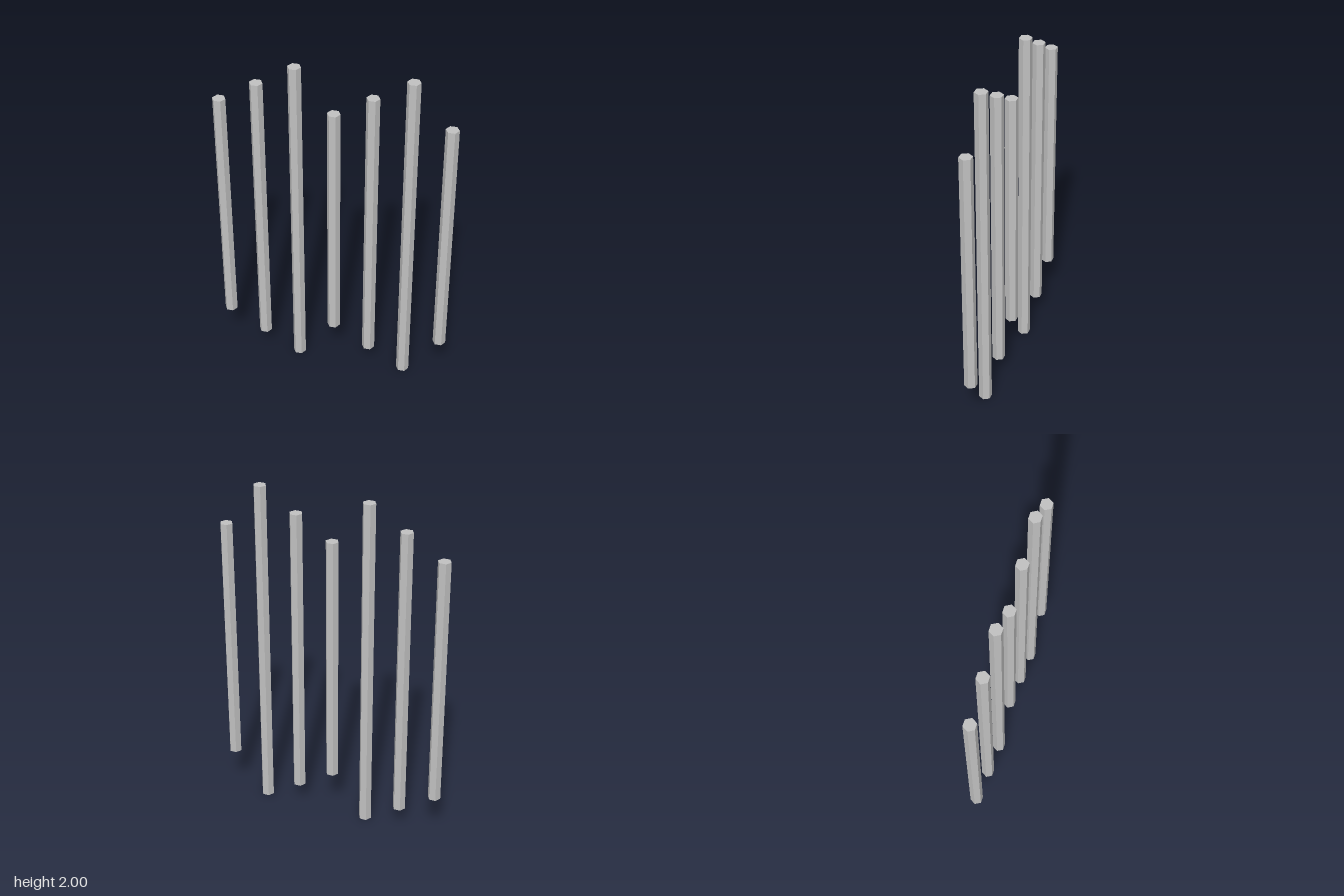
import * as THREE from 'three';

const SPACING = 0.2125;
const RADIUS = 0.0375;
// rod lengths repeat short, medium, long; all are centred on the same height
const LENGTHS = [1.486, 1.744, 2];

export function createModel() {
  const model = new THREE.Group();
  model.name = 'hangingRods';
  const metal = new THREE.MeshStandardMaterial({ color: 0xc0c0c0, flatShading: true });
  metal.name = 'light grey metal';

  // row of seven hexagonal rods, corners pointing along x
  for (let i = 0; i < 7; i++) {
    const geometry = new THREE.CylinderGeometry(RADIUS, RADIUS, LENGTHS[i % 3], 6);
    geometry.rotateY(Math.PI / 6);
    const rod = new THREE.Mesh(geometry, metal);
    rod.name = `rod${i + 1}`;
    rod.position.set((i - 3) * SPACING, 1, 0);
    model.add(rod);
  }
  return model;
}
